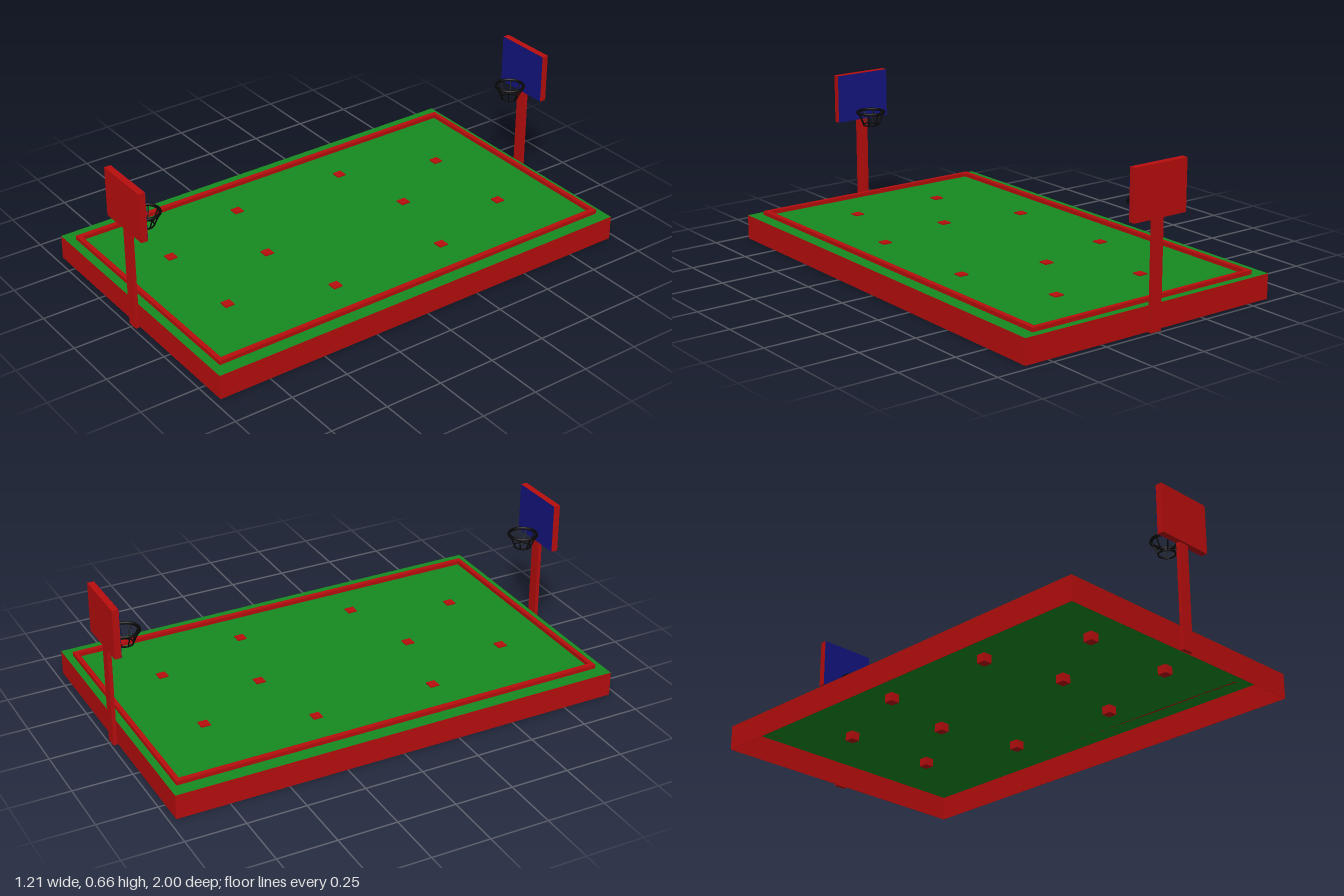
import * as THREE from 'three';

const mat = (color) => new THREE.MeshStandardMaterial({ color, side: THREE.DoubleSide });
const red = mat(0xb80d0d), green = mat(0x178a20), blue = mat(0x14147f), black = mat(0x060606);

function add(parent, name, geometry, material, x = 0, y = 0, z = 0) {
  const mesh = new THREE.Mesh(geometry, material);
  mesh.name = name;
  mesh.position.set(x, y, z);
  parent.add(mesh);
  return mesh;
}

const rect = (T, w, h) => new T([
  new THREE.Vector2(-w, -h), new THREE.Vector2(w, -h),
  new THREE.Vector2(w, h), new THREE.Vector2(-w, h),
]);

// Hoop with a tapering wire basket
function createHoop() {
  const hoop = new THREE.Group();
  hoop.name = 'hoop';
  const topR = 0.059, lowR = 0.034, drop = 0.056;
  add(hoop, 'rim', new THREE.TorusGeometry(topR, 0.0065, 8, 24), black).rotation.x = Math.PI / 2;
  add(hoop, 'basketRing', new THREE.TorusGeometry(lowR, 0.0035, 6, 20), black, 0, -drop).rotation.x = Math.PI / 2;
  for (let i = 0; i < 8; i++) {
    const a = (i / 8) * Math.PI * 2, c = Math.cos(a), s = Math.sin(a);
    const wire = new THREE.LineCurve3(
      new THREE.Vector3(c * topR, 0, s * topR),
      new THREE.Vector3(c * lowR, -drop, s * lowR));
    add(hoop, 'basketWire', new THREE.TubeGeometry(wire, 1, 0.003, 6), black);
  }
  return hoop;
}

// Post, backboard and hoop, placed at the +z end and facing -z
function createBasket() {
  const basket = new THREE.Group();
  basket.name = 'basket';
  add(basket, 'post', new THREE.BoxGeometry(0.05, 0.5, 0.016), red, 0, 0.25, 0.983);
  add(basket, 'backboard', new THREE.BoxGeometry(0.256, 0.21, 0.028), red, 0, 0.552, 0.986);
  add(basket, 'boardFace', new THREE.PlaneGeometry(0.256, 0.21), blue, 0, 0.552, 0.971).rotation.y = Math.PI;
  const hoop = createHoop();
  hoop.position.set(0, 0.489, 0.908);
  basket.add(hoop);
  return basket;
}

export function createModel() {
  const model = new THREE.Group();
  model.name = 'court';
  const W = 0.605, L = 0.971, H = 0.105;

  // Hollow base: thin side walls under a flat playing surface
  const walls = new THREE.ExtrudeGeometry(
    (() => {
      const s = rect(THREE.Shape, W, L);
      s.holes.push(rect(THREE.Path, W - 0.001, L - 0.001));
      return s;
    })(), { depth: H - 0.0005, bevelEnabled: false }).rotateX(-Math.PI / 2);
  add(model, 'baseWalls', walls, red);
  add(model, 'playingSurface', new THREE.PlaneGeometry(2 * W, 2 * L), green, 0, H).rotation.x = -Math.PI / 2;

  // Raised boundary frame
  const frame = rect(THREE.Shape, 0.547, 0.937);
  frame.holes.push(rect(THREE.Path, 0.525, 0.918));
  const border = new THREE.ExtrudeGeometry(frame, { depth: 0.017, bevelEnabled: false }).rotateX(-Math.PI / 2);
  add(model, 'boundaryFrame', border, red, 0.001, H, -0.003);

  // Floor markers, set through the surface
  const marker = new THREE.BoxGeometry(0.04, 0.04, 0.04);
  for (const s of [-1, 1]) {
    for (const [x, z] of [[-0.2, 0.682], [0.222, 0.682], [0, 0.348], [-0.35, 0.265], [0.36, 0.265]]) {
      add(model, 'floorMarker', marker, red, x, 0.09, s * z + 0.008);
    }
  }

  // One basket at each end
  const front = createBasket(), back = createBasket();
  back.rotation.y = Math.PI;
  model.add(front, back);
  return model;
}
